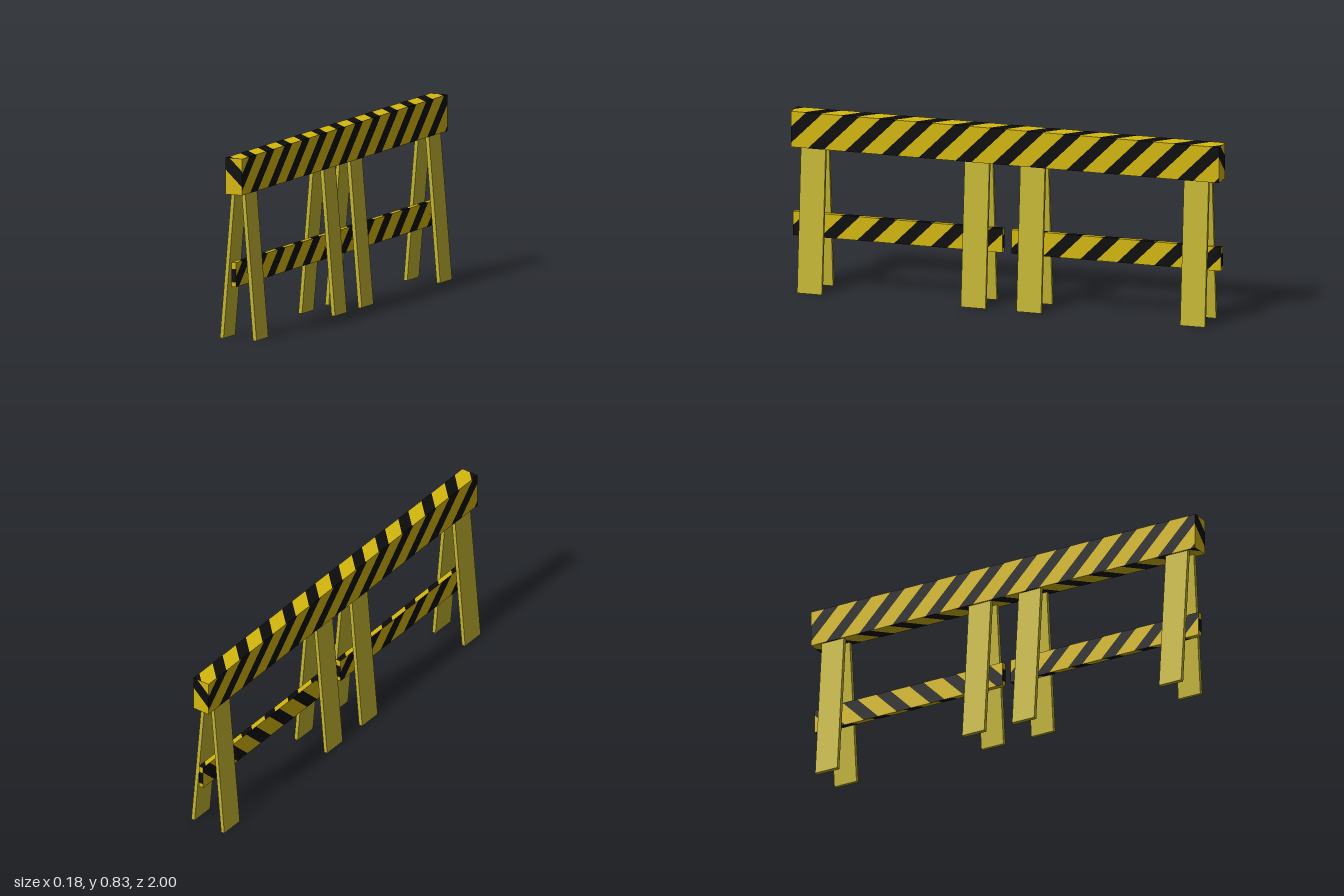
import * as THREE from 'three';

const mat = (name, color) => {
  const m = new THREE.MeshStandardMaterial({ color });
  m.name = name;
  return m;
};

const X = new THREE.Vector3(1, 0, 0);
const Y = new THREE.Vector3(0, 1, 0);
const Z = new THREE.Vector3(0, 0, 1);
const NX = X.clone().negate();
const NZ = Z.clone().negate();

// Keeps the part of a polygon where f(point) >= 0
function clip(poly, f) {
  const out = [];
  poly.forEach((p, i) => {
    const q = poly[(i + 1) % poly.length];
    const a = f(p), b = f(q);
    if (a >= 0) out.push(p);
    if (a * b < 0) {
      const t = a / (a - b);
      out.push([p[0] + (q[0] - p[0]) * t, p[1] + (q[1] - p[1]) * t]);
    }
  });
  return out;
}

// A box with each face cut into yellow and black bands.
// Band position on a face is dir[0] * u + dir[1] * v.
function stripedBoard(name, size, faces, materials) {
  const points = [[], []];
  for (const { u, v, dir, phase, half, period } of faces) {
    const n = u.clone().cross(v);
    const reach = (axis) => Math.abs(axis.dot(size)) / 2;
    const w = reach(u), h = reach(v), d = reach(n);
    const rect = [[-w, -h], [w, -h], [w, h], [-w, h]];
    const f = (p) => dir[0] * p[0] + dir[1] * p[1];
    const addBand = (lo, hi, colour) => {
      const poly = clip(clip(rect, (p) => f(p) - lo), (p) => hi - f(p));
      const at = (p) => n.clone().multiplyScalar(d)
        .addScaledVector(u, p[0]).addScaledVector(v, p[1]).toArray();
      for (let i = 1; i < poly.length - 1; i++) {
        points[colour].push(...at(poly[0]), ...at(poly[i]), ...at(poly[i + 1]));
      }
    };
    const count = Math.ceil((w + 2 * h) / period) + 2;
    for (let k = -count; k <= count; k++) {
      const c = phase + k * period;
      addBand(c - half, c + half, 1);
      addBand(c + half, c + period - half, 0);
    }
  }
  const geo = new THREE.BufferGeometry();
  geo.setAttribute('position', new THREE.Float32BufferAttribute([...points[0], ...points[1]], 3));
  geo.addGroup(0, points[0].length / 3, 0);
  geo.addGroup(points[0].length / 3, points[1].length / 3, 1);
  geo.computeVertexNormals();
  const mesh = new THREE.Mesh(geo, materials);
  mesh.name = name;
  return mesh;
}

export function createModel() {
  const model = new THREE.Group();
  model.name = 'barricade';
  const yellow = mat('safety yellow', 0xd6b80f);
  const black = mat('stripe black', 0x0c0c0c);
  const legYellow = mat('leg yellow', 0xc5b632);
  const paint = [yellow, black];
  const band = { half: 0.0375, period: 0.1725 };
  const single = { period: 1 };

  // Top beam
  const end = { dir: [1, 1.1], phase: 0.03, half: 0.039, ...single };
  const side = { dir: [1, -1], phase: -0.1125, ...band };
  const beam = stripedBoard('topBeam', new THREE.Vector3(0.084, 0.165, 2), [
    { u: NZ, v: Y, ...side },
    { u: Z, v: Y, ...side },
    { u: Z, v: X, dir: [1, -1], phase: 0, ...band },
    { u: NZ, v: X, dir: [1, 1], phase: 0, ...band },
    { u: X, v: Y, ...end },
    { u: NX, v: Y, ...end },
  ], paint);
  beam.position.y = 0.7425;
  model.add(beam);

  // Two lower rails with a gap between them
  const railEnd = { dir: [0, 1], phase: -0.005, half: 0.03, ...single };
  for (const [name, z, phase, lean] of [
    ['frontRail', 0.5105, -0.272, -1],
    ['backRail', -0.5105, -0.25, 1],
  ]) {
    const edge = -(phase + 0.055);
    const rail = stripedBoard(name, new THREE.Vector3(0.024, 0.11, 0.979), [
      { u: NZ, v: Y, dir: [1, -1], phase, ...band },
      { u: Z, v: Y, dir: [1, lean], phase, ...band },
      { u: Z, v: X, dir: [1, -1], phase: edge, ...band },
      { u: NZ, v: X, dir: [1, 1], phase: -edge, ...band },
      { u: X, v: Y, ...railEnd },
      { u: NX, v: Y, ...railEnd },
    ], paint);
    rail.position.set(0, 0.3, z);
    model.add(rail);
  }

  // Four pairs of splayed legs, each joined by a thin crossbar
  const legGeo = new THREE.BoxGeometry(0.018, 0.681, 0.115);
  const barGeo = new THREE.CylinderGeometry(0.0035, 0.0035, 0.1, 8).rotateZ(Math.PI / 2);
  for (const z of [0.899, 0.134, -0.126, -0.891]) {
    const pair = new THREE.Group();
    pair.name = 'legPair';
    for (const s of [1, -1]) {
      const leg = new THREE.Mesh(legGeo, legYellow);
      leg.name = s > 0 ? 'leftLeg' : 'rightLeg';
      leg.position.set(s * 0.0535, 0.34, 0);
      leg.rotation.z = s * 0.0862;
      pair.add(leg);
    }
    const bar = new THREE.Mesh(barGeo, legYellow);
    bar.name = 'crossbar';
    bar.position.y = 0.3;
    pair.add(bar);
    pair.position.z = z;
    model.add(pair);
  }
  return model;
}
